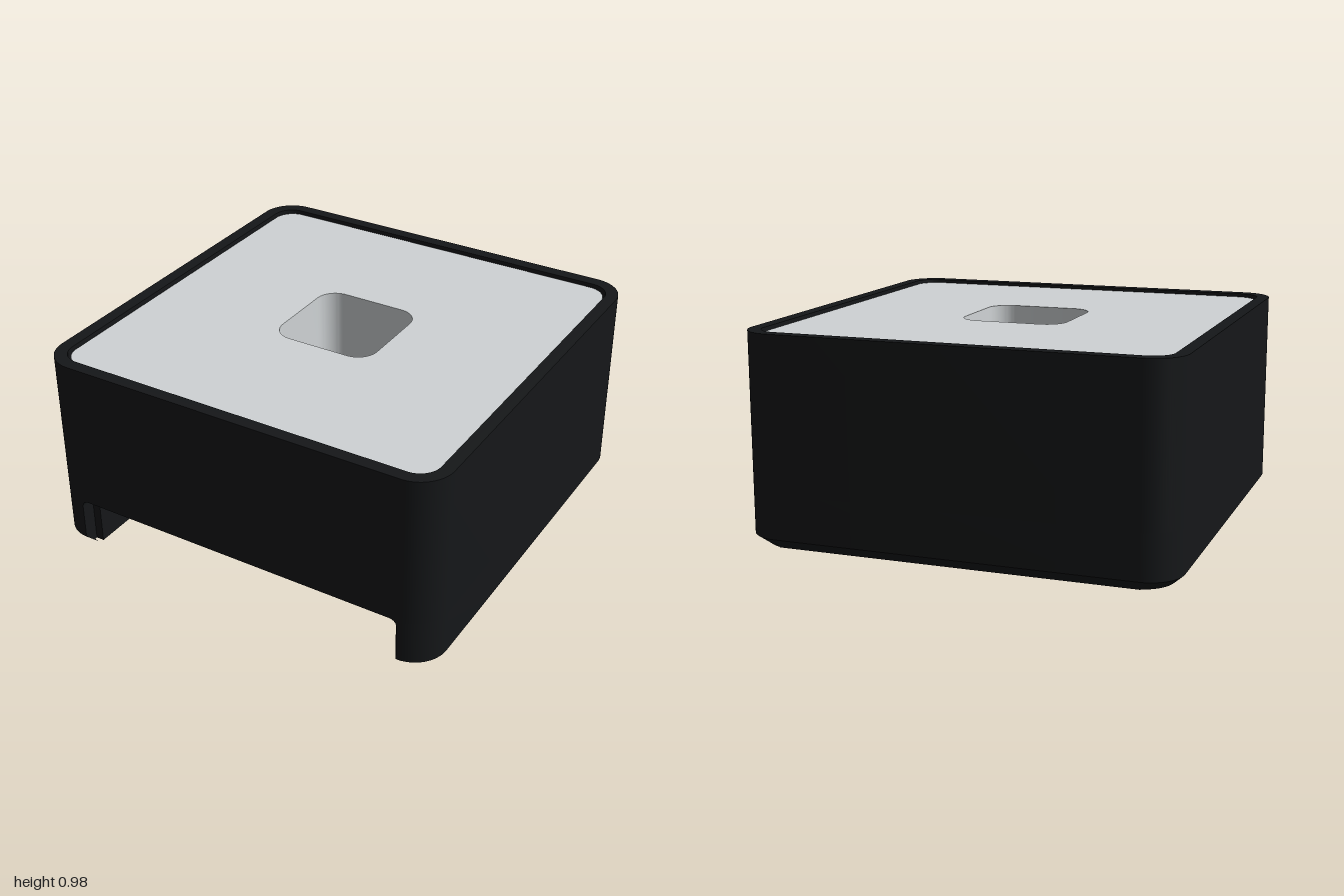
import * as THREE from 'three';
import { toCreasedNormals } from 'three/addons/utils/BufferGeometryUtils.js';
import { RoundedBoxGeometry } from 'three/addons/geometries/RoundedBoxGeometry.js';

const mat = (color) => new THREE.MeshStandardMaterial({ color });
const black = mat(0x151719), headerBlack = mat(0x1e2123), navy = mat(0x18233c);
const grey = mat(0xcfd3d5), gold = mat(0xa88c45), cream = mat(0xd0cec6), padGrey = mat(0x5c5c60);

// Square outline with rounded corners; half is half the side length
function roundedSquare(half, r, Type = THREE.Shape) {
  const s = new Type(), c = half - r;
  s.absarc(c, c, r, 0, Math.PI / 2);
  s.absarc(-c, c, r, Math.PI / 2, Math.PI);
  s.absarc(-c, -c, r, Math.PI, Math.PI * 1.5);
  s.absarc(c, -c, r, Math.PI * 1.5, Math.PI * 2);
  s.closePath();
  return s;
}

// U-shaped foot outline, open at the front (shape -y becomes +z)
function footOutline() {
  const s = new THREE.Shape(), c = 0.84, r = 0.16;
  s.absarc(c, c, r, 0, Math.PI / 2);
  s.absarc(-c, c, r, Math.PI / 2, Math.PI);
  s.absarc(-c, -c, r, Math.PI, Math.PI * 1.5);
  s.lineTo(-0.84, -0.93);
  s.lineTo(-0.8, -0.93);
  s.lineTo(-0.8, 0.4);
  s.lineTo(0.8, 0.4);
  s.lineTo(0.8, -0.93);
  s.lineTo(0.84, -0.93);
  s.lineTo(0.84, -1);
  s.absarc(c, -c, r, Math.PI * 1.5, Math.PI * 2);
  s.closePath();
  return s;
}

// Upright extrusion of a plan outline from y0 to y1
function slabGeometry(shape, y0, y1) {
  const g = new THREE.ExtrudeGeometry(shape, { depth: y1 - y0, bevelEnabled: false, curveSegments: 10 });
  return g.rotateX(-Math.PI / 2).translate(0, y0, 0);
}

export function createModel() {
  const model = new THREE.Group();
  const add = (name, geometry, material, x = 0, y = 0, z = 0, parent = model) => {
    const m = new THREE.Mesh(geometry, material);
    m.name = name;
    m.position.set(x, y, z);
    parent.add(m);
    return m;
  };
  const slab = (name, shape, y0, y1, material) =>
    add(name, toCreasedNormals(slabGeometry(shape, y0, y1), 0.5), material);

  // Housing walls
  const walls = roundedSquare(1, 0.16);
  walls.holes.push(roundedSquare(0.94, 0.1, THREE.Path));
  slab('housingWalls', walls, 0.26, 0.98, black);
  slab('housingFoot', footOutline(), 0.05, 0.26, black);

  // Chamfered underside: pull in the outer outline of the lowest layer
  const chamfer = slabGeometry(footOutline(), 0, 0.05);
  const p = chamfer.attributes.position;
  for (let i = 0; i < p.count; i++) {
    const x = p.getX(i), z = p.getZ(i);
    if (p.getY(i) > 0.01) continue;
    if (Math.abs(x) > 0.841) p.setX(i, x * 0.95);
    if (Math.abs(x) > 0.841 || Math.abs(z) > 0.94) p.setZ(i, z * 0.95);
  }
  chamfer.computeVertexNormals();
  add('footChamfer', toCreasedNormals(chamfer, 0.5), black);

  // Small fillets in the upper corners of the front opening
  for (const side of [-1, 1]) {
    const s = new THREE.Shape();
    s.moveTo(side * 0.84, 0.26);
    s.lineTo(side * 0.8, 0.26);
    s.quadraticCurveTo(side * 0.84, 0.26, side * 0.84, 0.22);
    s.closePath();
    add('openingFillet', new THREE.ExtrudeGeometry(s, { depth: 0.07, bevelEnabled: false }), black, 0, 0, 0.93);
  }

  // Circuit board and the grey filling with its window
  slab('circuitBoard', roundedSquare(0.939, 0.1), 0.26, 0.42, navy);
  const filling = roundedSquare(0.93, 0.1);
  filling.holes.push(roundedSquare(0.253, 0.1, THREE.Path));
  slab('filling', filling, 0.42, 0.965, grey);

  // Sensor with port, and solder pads on the board
  const sensor = new THREE.Group();
  sensor.name = 'sensor';
  model.add(sensor);
  add('sensorCap', new RoundedBoxGeometry(0.3, 0.11, 0.3, 3, 0.02), cream, -0.03, 0.475, -0.01, sensor);
  add('sensorPort', new THREE.CylinderGeometry(0.035, 0.035, 0.004, 24), navy, 0.06, 0.531, -0.005, sensor);
  add('goldPad', new THREE.BoxGeometry(0.095, 0.02, 0.05), gold, 0.045, 0.43, -0.226, sensor);
  for (const z of [-0.105, 0.085])
    add('greyPad', new THREE.BoxGeometry(0.058, 0.02, 0.108), padGrey, -0.225, 0.43, z, sensor);

  // Pin header under the board
  add('headerBlock', new THREE.BoxGeometry(1.59, 0.255, 0.4), headerBlack, 0, 0.1325, -0.2);
  const tip = new THREE.CylinderGeometry(0.015 * Math.SQRT2, 0.03 * Math.SQRT2, 0.03, 4)
    .rotateY(Math.PI / 4).rotateX(Math.PI / 2).toNonIndexed();
  tip.computeVertexNormals();
  const shaft = new THREE.BoxGeometry(0.06, 0.06, 0.46);
  for (let i = 0; i < 6; i++) {
    const pin = new THREE.Group();
    pin.name = 'pin';
    pin.position.set((i - 2.5) * 0.26, 0.135, 0);
    add('pinShaft', shaft, gold, 0, 0, 0.23, pin);
    add('pinTip', tip, gold, 0, 0, 0.475, pin);
    model.add(pin);
  }
  return model;
}
